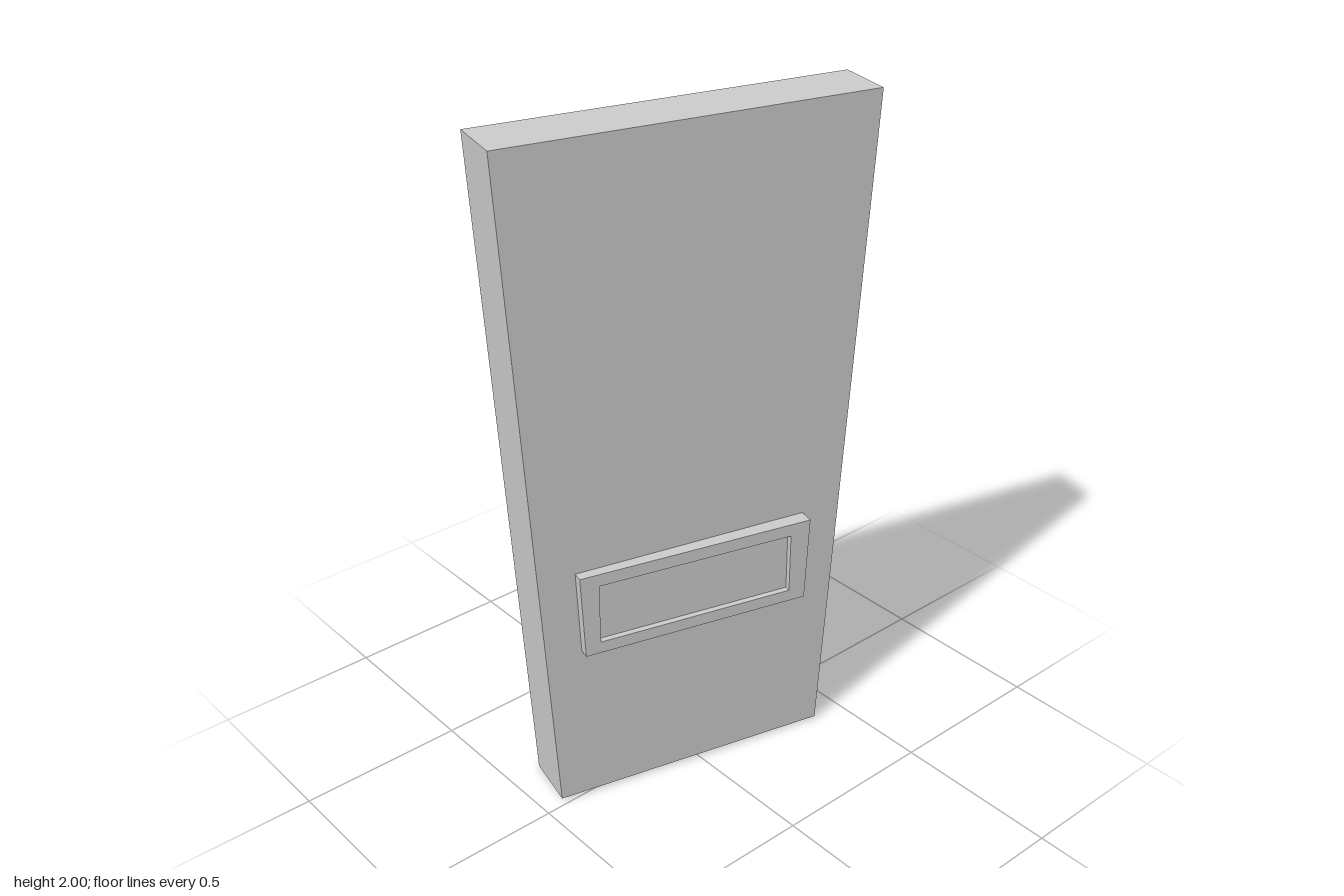
import * as THREE from 'three';

const material = new THREE.MeshStandardMaterial({ color: 0xcccccc, flatShading: true });

// Apply a rule to every vertex of a geometry
function reshape(geometry, rule) {
  const p = geometry.attributes.position;
  const v = new THREE.Vector3();
  for (let i = 0; i < p.count; i++) {
    v.fromBufferAttribute(p, i);
    rule(v);
    p.setXYZ(i, v.x, v.y, v.z);
  }
  geometry.computeVertexNormals();
  return geometry;
}

function addPart(parent, name, geometry) {
  const mesh = new THREE.Mesh(geometry, material);
  mesh.name = name;
  parent.add(mesh);
}

// Outer plane of the frame, slightly skewed to the slab face
const frameFace = (x) => 0.1264 + 0.0215 * x;

export function createModel() {
  const model = new THREE.Group();
  model.name = 'taperedPanel';

  // Local x runs along the slab, local z points out of its framed face
  const panel = new THREE.Group();
  panel.name = 'panel';
  panel.rotation.y = THREE.MathUtils.degToRad(76.08);
  model.add(panel);

  // Slab: wider at the top, underside rising slightly towards the framed face
  addPart(panel, 'slab', reshape(new THREE.BoxGeometry(1, 2, 0.176), (v) => {
    const top = v.y > 0;
    v.x *= top ? 1.089 : 0.857;
    v.y = top ? 2 : v.z > 0 ? 0.008 : 0;
  }));

  // Raised frame with a rectangular opening
  const outline = new THREE.Shape([
    [-0.35, 0.513], [0.342, 0.513], [0.353, 0.773], [-0.362, 0.773],
  ].map(([x, y]) => new THREE.Vector2(x, y)));
  outline.holes.push(new THREE.Path([
    [-0.305, 0.549], [-0.305, 0.735], [0.291, 0.735], [0.291, 0.549],
  ].map(([x, y]) => new THREE.Vector2(x, y))));
  const frame = new THREE.ExtrudeGeometry(outline, { depth: 1, bevelEnabled: false });
  addPart(panel, 'frame', reshape(frame, (v) => {
    v.z = v.z > 0.5 ? frameFace(v.x) : 0.08;
  }));

  // Recessed plate inside the frame
  const plate = new THREE.BoxGeometry(0.596, 0.186, 1).translate(-0.007, 0.642, 0);
  addPart(panel, 'recessedPlate', reshape(plate, (v) => {
    v.z = v.z > 0 ? frameFace(v.x) - 0.018 : 0.08;
  }));

  return model;
}
